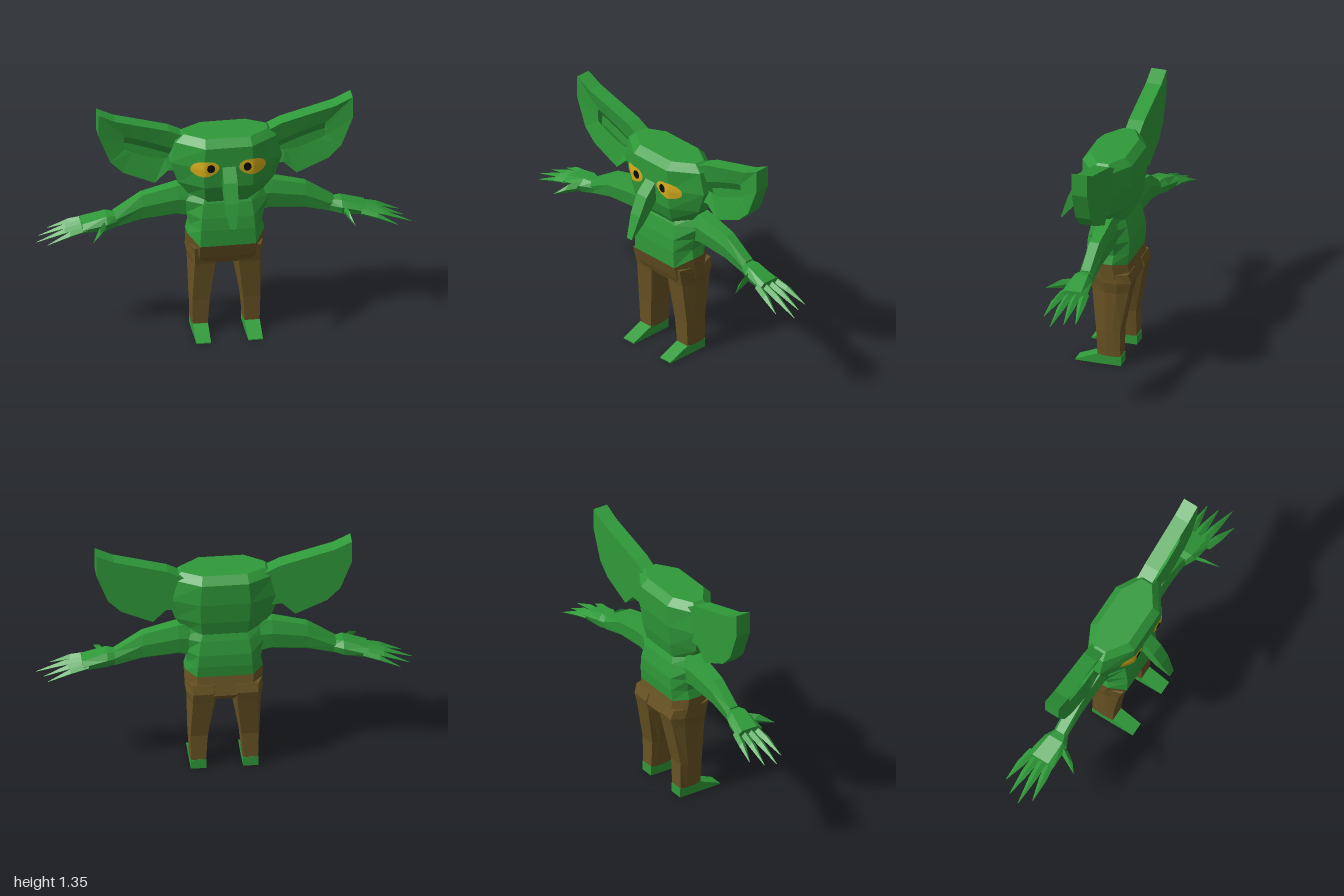
import * as THREE from 'three';

const mat = (name, color) => Object.assign(new THREE.MeshStandardMaterial({ color }), { name });
const V = (x, y, z) => new THREE.Vector3(x, y, z);

// Faceted solid through rings of equal point count, capped at both ends
function loft(rings) {
  const tris = [];
  const n = rings[0].length;
  for (let r = 0; r < rings.length - 1; r++) {
    for (let i = 0; i < n; i++) {
      const j = (i + 1) % n;
      const [a, b, c, d] = [rings[r][i], rings[r][j], rings[r + 1][j], rings[r + 1][i]];
      tris.push([a, b, c], [a, c, d]);
    }
  }
  const cap = (ring, flip) => {
    const mid = ring.reduce((s, p) => s.add(p), V(0, 0, 0)).divideScalar(n);
    for (let i = 0; i < n; i++) {
      const a = ring[i], b = ring[(i + 1) % n];
      tris.push(flip ? [mid, b, a] : [mid, a, b]);
    }
  };
  cap(rings[0], true);
  cap(rings[rings.length - 1], false);
  // Turn the faces outward whatever the ring direction
  const volume = tris.reduce((s, [a, b, c]) => s + a.dot(b.clone().cross(c)), 0);
  if (volume < 0) tris.forEach((t) => t.reverse());
  const geo = new THREE.BufferGeometry().setFromPoints(tris.flat());
  geo.computeVertexNormals();
  return geo;
}

// Horizontal octagon: front half-width f, side half-width s, z range, side heights ys
function oct(y, f, s, zf, zb, cx = 0, ys = y, yb = y) {
  const z1 = zf + (zb - zf) * 0.38, z2 = zf + (zb - zf) * 0.7;
  return [V(cx - f, y, zf), V(cx + f, y, zf), V(cx + s, ys, z1), V(cx + s, ys, z2),
    V(cx + f, yb, zb), V(cx - f, yb, zb), V(cx - s, ys, z2), V(cx - s, ys, z1)];
}

// Upright bevelled section across an arm
function armRing(side, x, y0, y1, z0, z1) {
  const h = y1 - y0, d = z1 - z0;
  return [[0.2, 1], [0.8, 1], [1, 0.6], [0.85, 0.1], [0.6, 0], [0.3, 0], [0.1, 0.1], [0, 0.6]]
    .map(([u, v]) => V(side * x, y0 + v * h, z0 + u * d));
}

// Pointed finger from a base to a tip, with a slight bend
function finger(side, base, tip, w) {
  const ring = (p, r) => [V(0, 0.02, 0), V(0, 0, 1), V(0, -1, 0), V(0, 0, -1)]
    .map((o, i) => V(p.x * side, p.y + (i === 0 ? r * 0.8 : o.y * r * 0.8), p.z + o.z * r));
  const mid = base.clone().lerp(tip, 0.45).add(V(0, 0.008, 0));
  return loft([ring(base, w), ring(mid, w * 0.9), ring(tip, 0.002)]);
}

export function createModel() {
  const green = mat('green skin', 0x2f9a39);
  const brown = mat('brown cloth', 0x685323);
  const yellow = mat('yellow eye', 0xd9b01c);
  const black = mat('black pupil', 0x0b0b08);

  const model = new THREE.Group();
  const body = new THREE.Group();
  body.name = 'body';
  body.position.x = 0.007;
  model.add(body);
  const add = (parent, name, geo, material) => {
    const mesh = new THREE.Mesh(geo, material);
    mesh.name = name;
    parent.add(mesh);
    return mesh;
  };

  // Head
  const headRows = [
    [0.80, 0.10, 0.14, 0.00, -0.14], [0.84, 0.12, 0.20, 0.025, -0.175],
    [0.92, 0.13, 0.26, 0.055, -0.195], [1.04, 0.135, 0.30, 0.066, -0.21],
    [1.16, 0.125, 0.27, 0.066, -0.21], [1.20, 0.12, 0.225, 0.025, -0.17]];
  add(body, 'head', loft(headRows.map((r) => oct(...r))), green);

  // Front surface of the head at a point, for laying the eyes on
  function headZ(x, y) {
    const k = Math.max(0, headRows.findIndex((r) => r[0] > y) - 1);
    const a = headRows[k], b = headRows[k + 1], t = (y - a[0]) / (b[0] - a[0]);
    const [, f, s, zf, zb] = a.map((v, i) => v + (b[i] - v) * t);
    const over = Math.max(0, (Math.abs(x) - f) / (s - f));
    return zf + (zb - zf) * 0.38 * over;
  }
  function eyePlate(cx, cy, rx, ry, tilt, lift) {
    const geo = new THREE.RingGeometry(0.001, 1, 18, 5);
    geo.scale(rx, ry, 1).rotateZ(tilt).translate(cx, cy, 0);
    const p = geo.attributes.position;
    for (let i = 0; i < p.count; i++) p.setZ(i, headZ(p.getX(i), p.getY(i)) + lift);
    geo.computeVertexNormals();
    return geo;
  }

  // Nose: long, drooping, pointed
  const noseRing = (w, yo, zo, yi, zi) =>
    [V(-w, yi, zi), V(w, yi, zi), V(w, yo, zo), V(-w, yo, zo)];
  add(body, 'nose', loft([
    noseRing(0.035, 1.05, 0.062, 0.95, 0.05), noseRing(0.037, 0.98, 0.13, 0.90, 0.088),
    noseRing(0.034, 0.88, 0.178, 0.83, 0.145), noseRing(0.018, 0.75, 0.222, 0.745, 0.216)]), green);

  // Ear outline, and the hollow's smaller rim and floor
  const rim = [[0.20, 1.17], [0.30, 1.22], [0.48, 1.27], [0.59, 1.30], [0.682, 1.345],
    [0.682, 1.22], [0.62, 1.06], [0.55, 0.99], [0.38, 0.915], [0.31, 0.985], [0.22, 0.98]];
  const floor = [[0.24, 1.08], [0.30, 1.11], [0.40, 1.15], [0.50, 1.185], [0.54, 1.195],
    [0.545, 1.16], [0.54, 1.12], [0.50, 1.10], [0.40, 1.06], [0.32, 1.05], [0.24, 1.06]];
  const deep = floor.map(([x, y]) => [x, y - 0.02 - 0.03 * (y > 1.1)]);

  for (const side of [1, -1]) {
    const word = side > 0 ? 'left' : 'right';
    const flat = (pts, z) => pts.map(([x, y]) => V(side * x, y, z));

    add(body, word + 'Ear', loft([flat(rim, -0.14), flat(rim, -0.055),
      flat(floor, -0.075), flat(deep, -0.105)]), green);

    // Eyes
    add(body, word + 'Eye', eyePlate(side * 0.128, 1.04, 0.076, 0.047, -side * 0.15, 0.006), yellow);
    add(body, word + 'Pupil', eyePlate(side * 0.098, 1.045, 0.021, 0.025, 0, 0.009), black);

    // Trouser leg
    const cx = side * 0.118;
    add(body, word + 'Leg', loft([
      oct(0.54, 0.06, 0.085, 0.02, -0.205, cx), oct(0.49, 0.055, 0.088, 0.01, -0.22, cx),
      oct(0.43, 0.055, 0.078, -0.004, -0.205, cx),
      oct(0.20, 0.046, 0.054, -0.028, -0.162, side * 0.136),
      oct(0.05, 0.040, 0.042, -0.035, -0.162, side * 0.139)]), brown);

    // Foot: flat wedge with a thin toe
    const fx = side * 0.139;
    const footRing = (z, top, w) =>
      [V(fx - w, 0, z), V(fx + w, 0, z), V(fx + w, top, z), V(fx - w, top, z)];
    add(body, word + 'Foot', loft([footRing(-0.165, 0.052, 0.041), footRing(-0.034, 0.056, 0.041),
      footRing(0.09, 0.006, 0.039)]), green);

    // Arm
    add(model, word + 'Arm', loft([
      armRing(side, 0.12, 0.67, 0.88, -0.15, -0.04), armRing(side, 0.25, 0.70, 0.88, -0.155, -0.045),
      armRing(side, 0.44, 0.682, 0.833, -0.145, -0.055),
      armRing(side, 0.59, 0.645, 0.735, -0.14, -0.06)]), green);

    // Hand, the right one turned a little further back
    const hand = new THREE.Group();
    hand.name = word + 'Hand';
    model.add(hand);
    const back = side > 0 ? 0 : 0.035;
    add(hand, 'palm', loft([
      armRing(side, 0.57, 0.655, 0.725, -0.135, -0.06),
      armRing(side, 0.63, 0.64, 0.73, -0.15 - back * 0.5, -0.03),
      armRing(side, 0.76, 0.635, 0.69, -0.16 - back, -0.015 - back * 0.5)]), green);
    const tips = side > 0
      ? [[0.95, -0.162], [0.965, -0.10], [1.0, -0.035], [0.92, 0.025]]
      : [[0.925, -0.223], [0.98, -0.165], [1.0, -0.10], [0.95, -0.04]];
    tips.forEach(([x, z], i) => add(hand, 'finger',
      finger(side, V(0.73, 0.665, -0.142 - back + i * 0.038), V(x, 0.583 + (1 - x) * 0.2, z), 0.024), green));
    add(hand, 'thumb', finger(side, V(0.64, 0.68, -0.05),
      V(side > 0 ? 0.68 : 0.72, 0.65, side > 0 ? 0.09 : 0.07), 0.035), green);
  }

  // Torso and trouser seat share the sloping waistline
  const waist = oct(0.555, 0.15, 0.208, 0.036, -0.192, 0, 0.60, 0.585);
  add(body, 'torso', loft([waist,
    oct(0.65, 0.145, 0.195, 0.036, -0.2), oct(0.72, 0.14, 0.21, 0.03, -0.2),
    oct(0.80, 0.13, 0.245, 0.012, -0.185), oct(0.86, 0.11, 0.22, -0.015, -0.165),
    oct(0.89, 0.09, 0.15, -0.03, -0.14)]), green);
  add(body, 'trouserSeat', loft([
    oct(0.435, 0.12, 0.19, -0.005, -0.18), oct(0.475, 0.15, 0.204, 0.012, -0.215), waist]), brown);

  return model;
}
